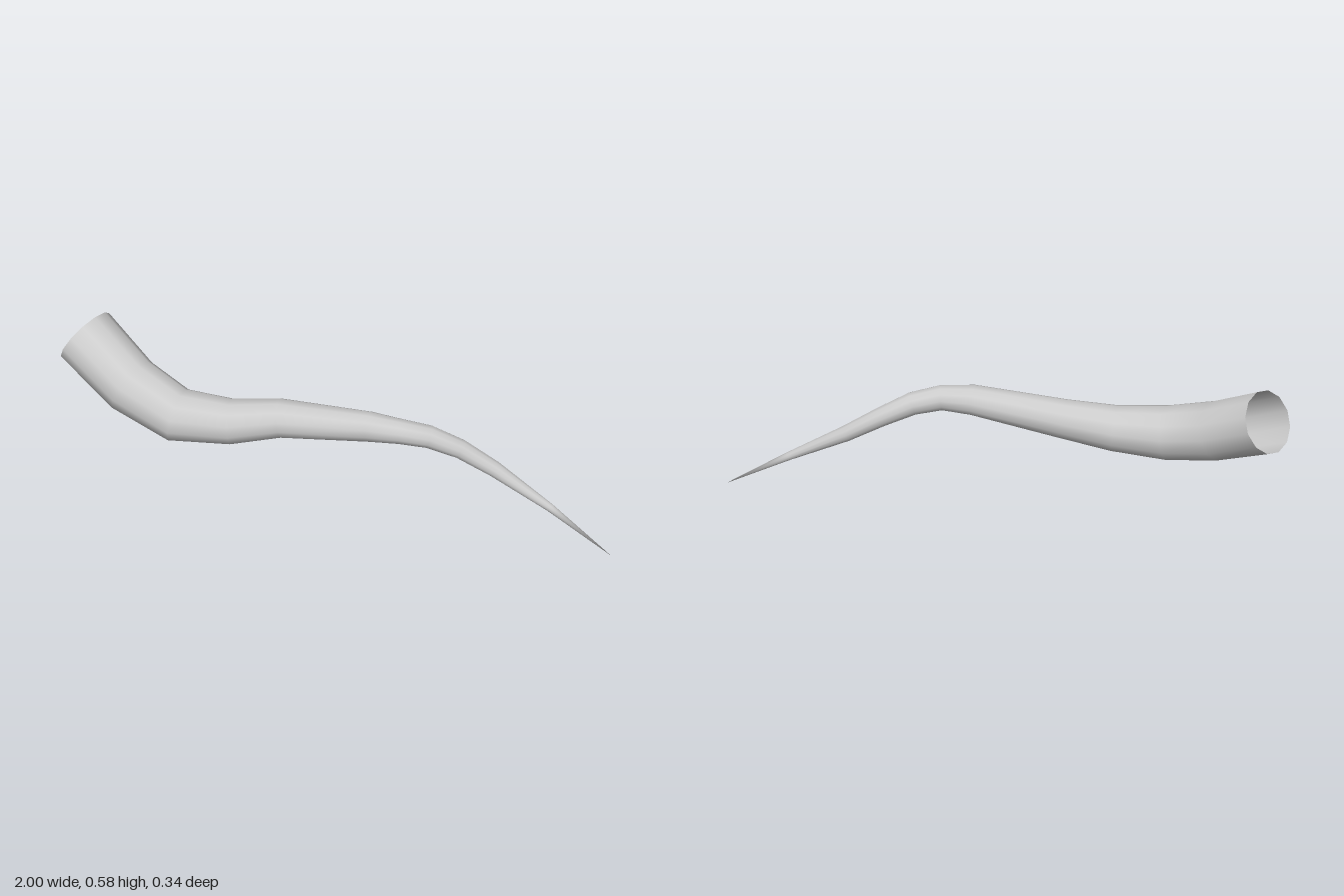
import * as THREE from 'three';

const SIDES = 12;

// Centre line and radius from the open root to the tip: x, y, z, radius
const STATIONS = [
  [-0.936, 0.475, -0.07, 0.113],
  [-0.735, 0.372, 0.025, 0.106],
  [-0.55, 0.32, 0.073, 0.097],
  [-0.362, 0.325, 0.058, 0.082],
  [-0.19, 0.358, 0.028, 0.07],
  [0.133, 0.397, 0.028, 0.054],
  [0.243, 0.397, 0.021, 0.045],
  [0.34, 0.377, -0.006, 0.041],
  [0.445, 0.328, -0.034, 0.035],
  [0.565, 0.258, -0.048, 0.029],
  [0.77, 0.143, -0.04, 0.015],
];
const TIP = [1, 0, -0.02];

// Skin round rings along the centre line and close them in a point
function taperedTube(stations, tip) {
  const centres = [...stations, tip].map(([x, y, z]) => new THREE.Vector3(x, y, z));
  const positions = [];
  const index = [];
  const side = new THREE.Vector3(0, 1, 0);

  stations.forEach(([, , , radius], i) => {
    // Each ring faces midway between its two neighbouring segments
    const tangent = centres[i + 1].clone().sub(centres[i]).normalize();
    if (i > 0) tangent.add(centres[i].clone().sub(centres[i - 1]).normalize()).normalize();
    // Carry the previous side direction along so the skin does not twist
    side.addScaledVector(tangent, -side.dot(tangent)).normalize();
    const across = tangent.clone().cross(side);
    for (let j = 0; j < SIDES; j++) {
      const angle = (j / SIDES) * Math.PI * 2;
      const p = centres[i].clone()
        .addScaledVector(side, Math.cos(angle) * radius)
        .addScaledVector(across, Math.sin(angle) * radius);
      positions.push(p.x, p.y, p.z);
    }
  });
  positions.push(...tip);

  const last = stations.length - 1;
  const tipIndex = stations.length * SIDES;
  for (let i = 0; i <= last; i++) {
    for (let j = 0; j < SIDES; j++) {
      const a = i * SIDES + j;
      const b = i * SIDES + ((j + 1) % SIDES);
      if (i === last) index.push(a, b, tipIndex);
      else index.push(a, b, a + SIDES, b, b + SIDES, a + SIDES);
    }
  }

  const geometry = new THREE.BufferGeometry();
  geometry.setAttribute('position', new THREE.Float32BufferAttribute(positions, 3));
  geometry.setIndex(index);
  geometry.computeVertexNormals();
  return geometry;
}

export function createModel() {
  const group = new THREE.Group();
  group.name = 'curvedHorn';

  // Hollow horn, open at the thick end
  const material = new THREE.MeshStandardMaterial({ color: 0xcccccc, side: THREE.DoubleSide });
  const horn = new THREE.Mesh(taperedTube(STATIONS, TIP), material);
  horn.name = 'horn';
  group.add(horn);

  return group;
}
